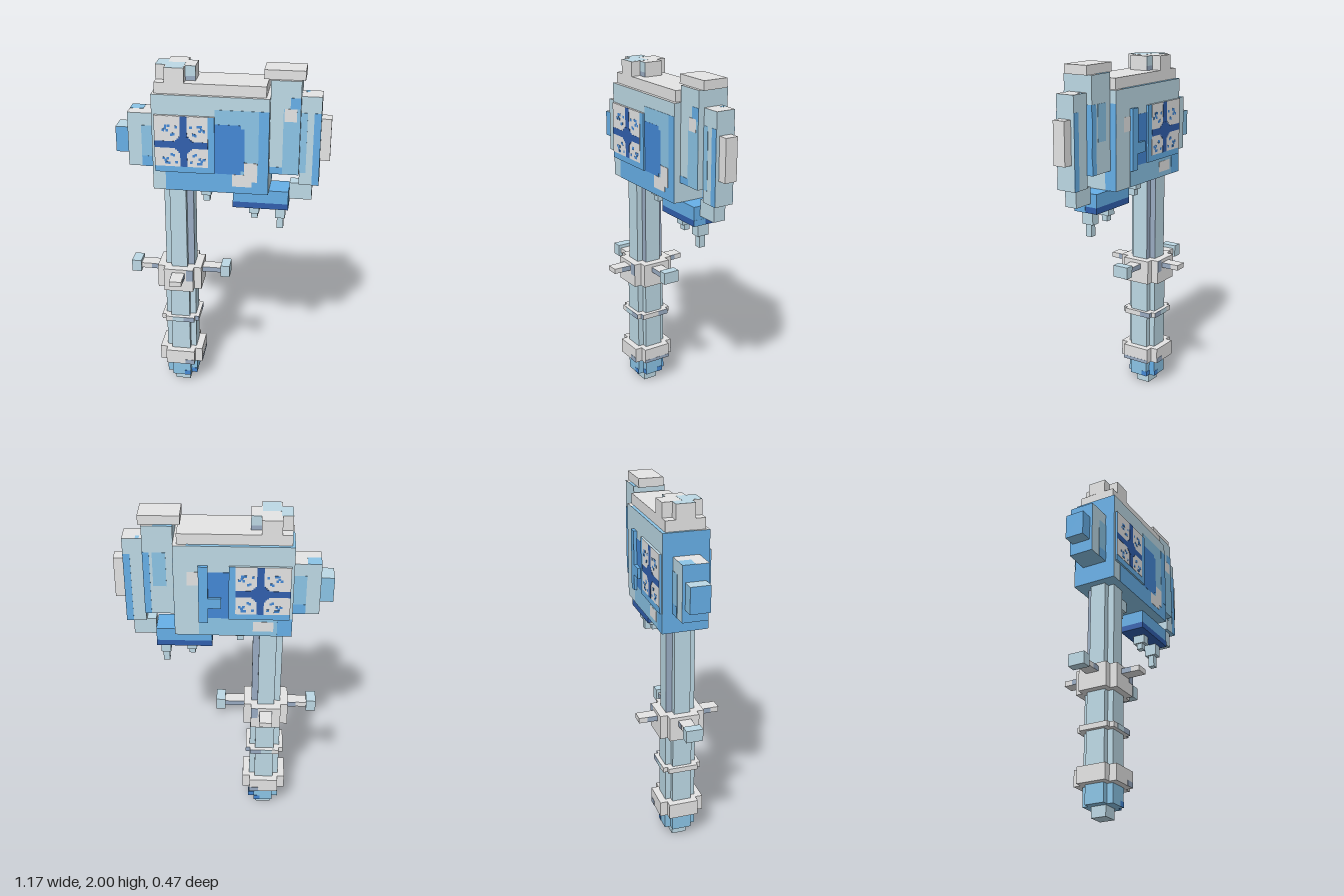
import * as THREE from 'three';

const flat = (name, color) => {
  const m = new THREE.MeshStandardMaterial({ color });
  m.name = name;
  return m;
};

export function createModel() {
  const root = new THREE.Group();
  root.name = 'hammer';
  const grey = flat('light grey', 0xe4e4e4);
  const pale = flat('pale blue', 0xbdd9e5);
  const mid = flat('mid blue', 0x8bc4e6);
  const bright = flat('bright blue', 0x67b0e8);
  const strong = flat('strong blue', 0x4488d5);
  const dark = flat('dark blue', 0x315fae);
  const slate = flat('slate', 0x9aacc3);

  // Box between two corners; mat may be one material or six (+x -x +y -y +z -z)
  const box = (name, mat, x0, x1, y0, y1, z0, z1) => {
    const mesh = new THREE.Mesh(new THREE.BoxGeometry(x1 - x0, y1 - y0, z1 - z0), mat);
    mesh.position.set((x0 + x1) / 2, (y0 + y1) / 2, (z0 + z1) / 2);
    mesh.name = name;
    root.add(mesh);
  };
  // Box centred on z = 0
  const slab = (name, mat, x0, x1, y0, y1, z) => box(name, mat, x0, x1, y0, y1, -z, z);
  // Thin painted patches on the front (1) and back (-1), on an x face, and on a top
  const front = [1], back = [-1], both = [1, -1];
  const paint = (sides, name, mat, x0, x1, y0, y1, z, layer = 1) => {
    for (const s of sides) {
      const c = s * (z + 0.001 * layer);
      box(name, mat, x0, x1, y0, y1, c - 0.001, c + 0.001);
    }
  };
  const paintX = (name, mat, x, y0, y1, z0, z1) => box(name, mat, x - 0.001, x + 0.001, y0, y1, z0, z1);
  const paintTop = (name, mat, x0, x1, y, z0, z1) => box(name, mat, x0, x1, y - 0.001, y + 0.001, z0, z1);
  // Plus-shaped prism made from two crossing boxes
  const cross = (name, mat, cx, y0, y1, wide, narrow) => {
    slab(name, mat, cx - wide, cx + wide, y0, y1, narrow);
    slab(name, mat, cx - narrow, cx + narrow, y0, y1, wide);
  };

  // Handle
  const hx = -0.245;
  slab('handleTip', pale, hx - 0.045, hx + 0.045, 0, 0.06, 0.043);
  cross('pommel', mid, hx, 0.06, 0.165, 0.09, 0.055);
  paint(both, 'pommelPatch', strong, hx + 0.02, hx + 0.055, 0.06, 0.09, 0.09);
  paint(both, 'pommelPatch', strong, hx + 0.055, hx + 0.09, 0.06, 0.09, 0.055);
  paintX('pommelSide', bright, hx + 0.055, 0.06, 0.165, -0.09, -0.055);
  paintX('pommelPatch', strong, hx + 0.09, 0.06, 0.09, -0.055, -0.02);
  cross('lowerCollar', grey, hx, 0.165, 0.255, 0.127, 0.085);
  paint(both, 'collarShade', slate, hx + 0.03, hx + 0.085, 0.165, 0.195, 0.127);
  paintX('collarShade', slate, hx + 0.127, 0.165, 0.185, -0.085, 0.085);
  cross('lowerGrip', pale, hx, 0.255, 0.675, 0.088, 0.055);
  cross('gripRing', grey, hx, 0.455, 0.485, 0.11, 0.085);
  paint(both, 'ringPatch', pale, hx - 0.045, hx + 0.02, 0.455, 0.485, 0.11);
  paint(both, 'ringShade', slate, hx + 0.02, hx + 0.085, 0.455, 0.485, 0.11);
  paint(both, 'ringShade', slate, hx + 0.085, hx + 0.11, 0.455, 0.485, 0.085);
  paintX('ringShade', slate, hx + 0.11, 0.455, 0.485, -0.085, -0.02);
  cross('upperGrip', pale, hx, 0.815, 1.32, 0.083, 0.046);
  paint(both, 'gripShade', slate, hx + 0.046, hx + 0.083, 0.815, 1.32, 0.046);
  for (const s of both) paintX('gripSideShade', slate, hx + s * 0.047, 0.815, 1.32, -0.083, -0.047);

  // Guard with four arms
  cross('guardCollar', grey, hx, 0.675, 0.815, 0.127, 0.085);
  paint(both, 'guardCollarShade', slate, hx + 0.045, hx + 0.085, 0.745, 0.815, 0.127);
  slab('guardArmLeft', [slate, slate, grey, slate, slate, slate], hx + 0.12, -0.01, 0.765, 0.795, 0.035);
  slab('guardArmRight', grey, -0.48, hx - 0.12, 0.765, 0.795, 0.035);
  paint(both, 'guardArmShade', slate, -0.42, hx - 0.127, 0.765, 0.795, 0.035);
  slab('guardArmDepth', grey, hx - 0.035, hx + 0.035, 0.765, 0.795, 0.233);
  for (const s of both) {
    const x = hx + s * 0.0355;
    paintX('guardArmShade', slate, x, 0.765, 0.795, 0.127, 0.185);
    paintX('guardArmShade', slate, x, 0.765, 0.795, -0.185, -0.127);
  }
  slab('guardKnob', pale, -0.535, -0.48, 0.745, 0.815, 0.048);
  slab('guardKnob', pale, -0.01, 0.042, 0.745, 0.815, 0.048);

  // Head body, cap and top knob
  slab('head', [pale, bright, grey, mid, pale, pale], -0.37, 0.26, 1.32, 1.86, 0.127);
  paintTop('headRim', mid, -0.37, 0.19, 1.86, -0.127, -0.108);
  paintTop('headRim', mid, -0.37, -0.355, 1.86, -0.108, 0.05);
  slab('headCap', grey, -0.355, 0.24, 1.86, 1.92, 0.108);
  cross('topKnob', grey, -0.248, 1.92, 2.0, 0.108, 0.053);
  paintTop('topKnobPatch', pale, -0.356, -0.295, 2.0, -0.053, 0.053);
  paintTop('topKnobPatch', pale, -0.295, -0.2, 2.0, 0, 0.108);
  paint(both, 'topKnobFace', pale, -0.195, -0.14, 1.945, 2, 0.053);
  paint(both, 'topKnobShade', slate, -0.195, -0.14, 1.92, 1.945, 0.053);

  // Painted panels on the front of the head
  paint(front, 'headMidPanel', mid, -0.03, 0.21, 1.43, 1.79, 0.127);
  paint(front, 'headLowerBand', bright, -0.3, 0.26, 1.32, 1.43, 0.127);
  paint(front, 'headSideBand', bright, 0.205, 0.26, 1.43, 1.79, 0.127, 2);
  paint(front, 'headInset', strong, -0.03, 0.11, 1.43, 1.71, 0.127, 2);
  paint(front, 'headInset', strong, 0.11, 0.13, 1.45, 1.69, 0.127, 2);
  paint(front, 'headSpot', grey, 0.13, 0.2, 1.39, 1.5, 0.127, 3);
  paint(front, 'headSpot', grey, 0.065, 0.17, 1.36, 1.43, 0.127, 3);
  paintX('headSidePaint', bright, 0.26, 1.32, 1.79, -0.127, -0.055);

  // Painted panels on the back of the head
  paint(back, 'headBackBand', mid, -0.37, 0.13, 1.32, 1.43, 0.127);
  paint(back, 'headBackCorner', bright, -0.37, -0.29, 1.32, 1.43, 0.127, 2);
  paint(back, 'headBackInset', strong, -0.03, 0.08, 1.43, 1.71, 0.127);
  paint(back, 'headBackSpot', grey, 0.13, 0.19, 1.63, 1.71, 0.127);
  paint(back, 'headBackSpot', grey, -0.27, -0.16, 1.35, 1.41, 0.127, 2);

  // Emblem plates, front and back
  slab('emblemPlate', [bright, bright, pale, mid, bright, bright], -0.355, -0.03, 1.43, 1.75, 0.139);
  paintTop('emblemPlateTop', grey, -0.355, -0.03, 1.75, 0.127, 0.139);
  paint(both, 'emblemField', grey, -0.355, -0.065, 1.465, 1.75, 0.139);
  const ex = -0.196, ey = 1.59;
  paint(both, 'emblemCrossBar', dark, -0.355, -0.065, ey - 0.019, ey + 0.019, 0.139, 2);
  paint(both, 'emblemCrossPost', dark, ex - 0.019, ex + 0.019, 1.465, 1.75, 0.139, 2);
  for (const [w, h] of [[0.046, 0.027], [0.036, 0.036], [0.027, 0.046]]) {
    paint(both, 'emblemCentre', dark, ex - w, ex + w, ey - h, ey + h, 0.139, 3);
  }
  const specks = [[0.055, 0.06], [0.065, 0.055], [0.088, 0.08], [0.098, 0.09],
    [0.11, 0.08], [0.08, 0.105], [0.095, 0.105], [0.04, 0.1]];
  for (const sx of both) for (const sy of both) for (const [u, v] of specks) {
    const x = ex + sx * u, y = ey + sy * v;
    paint(both, 'emblemSpeck', strong, x - 0.007, x + 0.007, y - 0.007, y + 0.007, 0.139, 2);
  }

  // Raised bracket on the back
  box('backBar', bright, 0.08, 0.13, 1.41, 1.75, -0.146, -0.127);
  box('backBarBranch', bright, 0.01, 0.08, 1.5, 1.56, -0.146, -0.127);

  // Striking end on the right
  slab('rightBlock', [pale, bright, grey, mid, pale, pale], -0.515, -0.37, 1.43, 1.735, 0.071);
  paint(both, 'rightBlockPatch', mid, -0.44, -0.37, 1.43, 1.665, 0.071);
  paint(both, 'rightBlockEdge', bright, -0.44, -0.37, 1.43, 1.49, 0.071, 2);
  paintTop('rightBlockTopPatch', mid, -0.515, -0.44, 1.735, -0.071, 0);
  slab('rightNub', [pale, bright, pale, mid, bright, mid], -0.587, -0.515, 1.5, 1.645, 0.055);

  // Tall column on the left, with its cap
  slab('column', [pale, pale, grey, mid, pale, pale], 0.26, 0.42, 1.43, 1.95, 0.089);
  paint(front, 'columnPatch', mid, 0.33, 0.42, 1.43, 1.8, 0.089);
  paint(front, 'columnEdge', bright, 0.365, 0.42, 1.79, 1.86, 0.089);
  paint(front, 'columnFoot', bright, 0.26, 0.335, 1.43, 1.47, 0.089);
  paint(front, 'columnSpot', grey, 0.335, 0.4, 1.73, 1.8, 0.089, 2);
  paint(back, 'columnBackPatch', mid, 0.3, 0.37, 1.6, 1.8, 0.089);
  paint(back, 'columnBackEdge', bright, 0.385, 0.42, 1.43, 1.8, 0.089);
  paintX('columnSidePaint', bright, 0.42, 1.43, 1.8, -0.089, -0.05);
  paintTop('columnTopPatch', mid, 0.26, 0.36, 1.95, -0.089, -0.071);
  slab('columnCap', grey, 0.222, 0.438, 1.95, 2.0, 0.071);

  // Outer column, foot and end plate
  slab('outerColumn', [pale, pale, grey, mid, pale, pale], 0.42, 0.528, 1.36, 1.86, 0.055);
  paint(both, 'outerColumnEdge', bright, 0.49, 0.528, 1.36, 1.77, 0.055);
  paint(front, 'outerColumnPatch', mid, 0.42, 0.455, 1.43, 1.77, 0.055);
  paintTop('outerColumnTopPatch', mid, 0.438, 0.458, 1.86, -0.055, -0.025);
  slab('outerFoot', pale, 0.37, 0.493, 1.265, 1.36, 0.036);
  slab('endPlate', grey, 0.528, 0.582, 1.5, 1.735, 0.036);

  // Tray below the head
  slab('tray', bright, 0.062, 0.368, 1.245, 1.32, 0.074);
  slab('trayBase', dark, 0.062, 0.368, 1.21, 1.245, 0.074);
  paintX('trayBaseEnd', bright, 0.368, 1.21, 1.245, 0, 0.074);

  // Hanging stepped spikes: x, top, step, bottom
  for (const [x, top, step, bottom] of [[0.177, 1.21, 1.16, 1.125],
    [0.323, 1.21, 1.14, 1.07], [-0.092, 1.32, 1.255, 1.215]]) {
    slab('spikeBase', pale, x - 0.027, x + 0.027, step, top, 0.035);
    slab('spikeTip', pale, x - 0.018, x + 0.018, bottom, step, 0.018);
  }
  return root;
}
